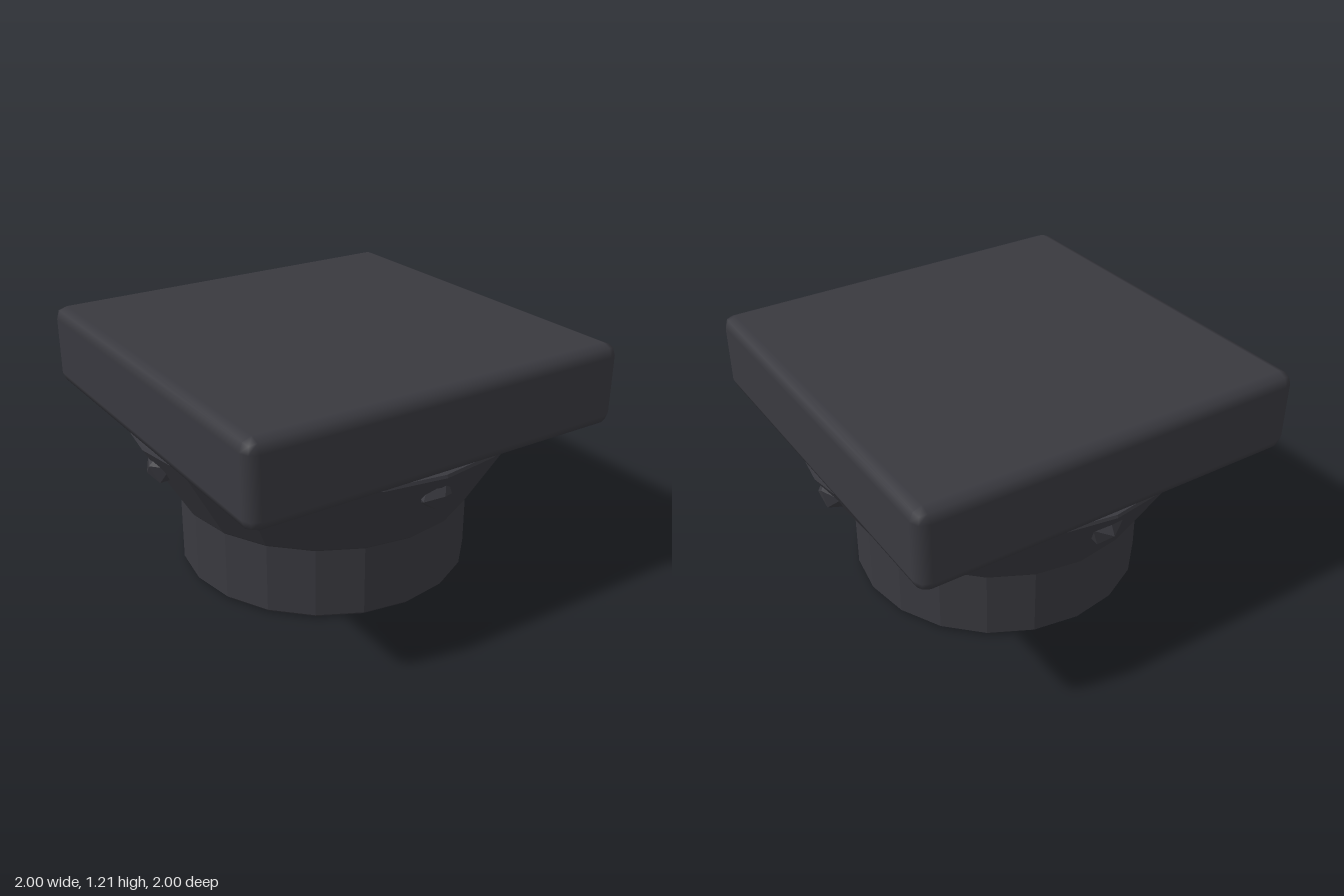
import * as THREE from 'three';
import { RoundedBoxGeometry } from 'three/addons/geometries/RoundedBoxGeometry.js';

const SIDES = 20;
const STUDS = 8;

// Give every facet its own flat normal
function faceted(geometry) {
  const flat = geometry.index ? geometry.toNonIndexed() : geometry;
  flat.computeVertexNormals();
  return flat;
}

function turned(profile) {
  return faceted(new THREE.LatheGeometry(profile.map(([r, y]) => new THREE.Vector2(r, y)), SIDES));
}

export function createModel() {
  const model = new THREE.Group();
  const stone = new THREE.MeshStandardMaterial({ color: 0x39393f });
  stone.name = 'dark stone';

  const add = (name, geometry, parent = model) => {
    const mesh = new THREE.Mesh(geometry, stone);
    mesh.name = name;
    parent.add(mesh);
    return mesh;
  };

  // Square slab with two-step bevels
  add('topSlab', new RoundedBoxGeometry(2, 0.41, 2, 1, 0.06)).position.y = 1.005;

  // Round neck with a slightly eased foot
  add('neck', turned([[0, 0], [0.725, 0], [0.74, 0.015], [0.74, 0.37], [0, 0.37]]));

  // Collar flaring out to the slab
  add('flaredCollar', turned([[0, 0.36], [0.735, 0.36], [0.75, 0.375], [0.99, 0.785], [0.985, 0.8], [0, 0.81]]));

  // Ring of rough-cut studs, each turned a little differently
  const studs = new THREE.Group();
  studs.name = 'studRing';
  model.add(studs);
  const studGeometry = faceted(new THREE.IcosahedronGeometry(0.095, 0));
  for (let i = 0; i < STUDS; i++) {
    const angle = (i / STUDS) * Math.PI * 2;
    const stud = add('stud', studGeometry, studs);
    stud.position.set(Math.sin(angle) * 0.885, 0.685, Math.cos(angle) * 0.885);
    stud.rotation.set(0.5 + i * 0.7, angle + i * 0.4, i * 1.1);
  }

  return model;
}
